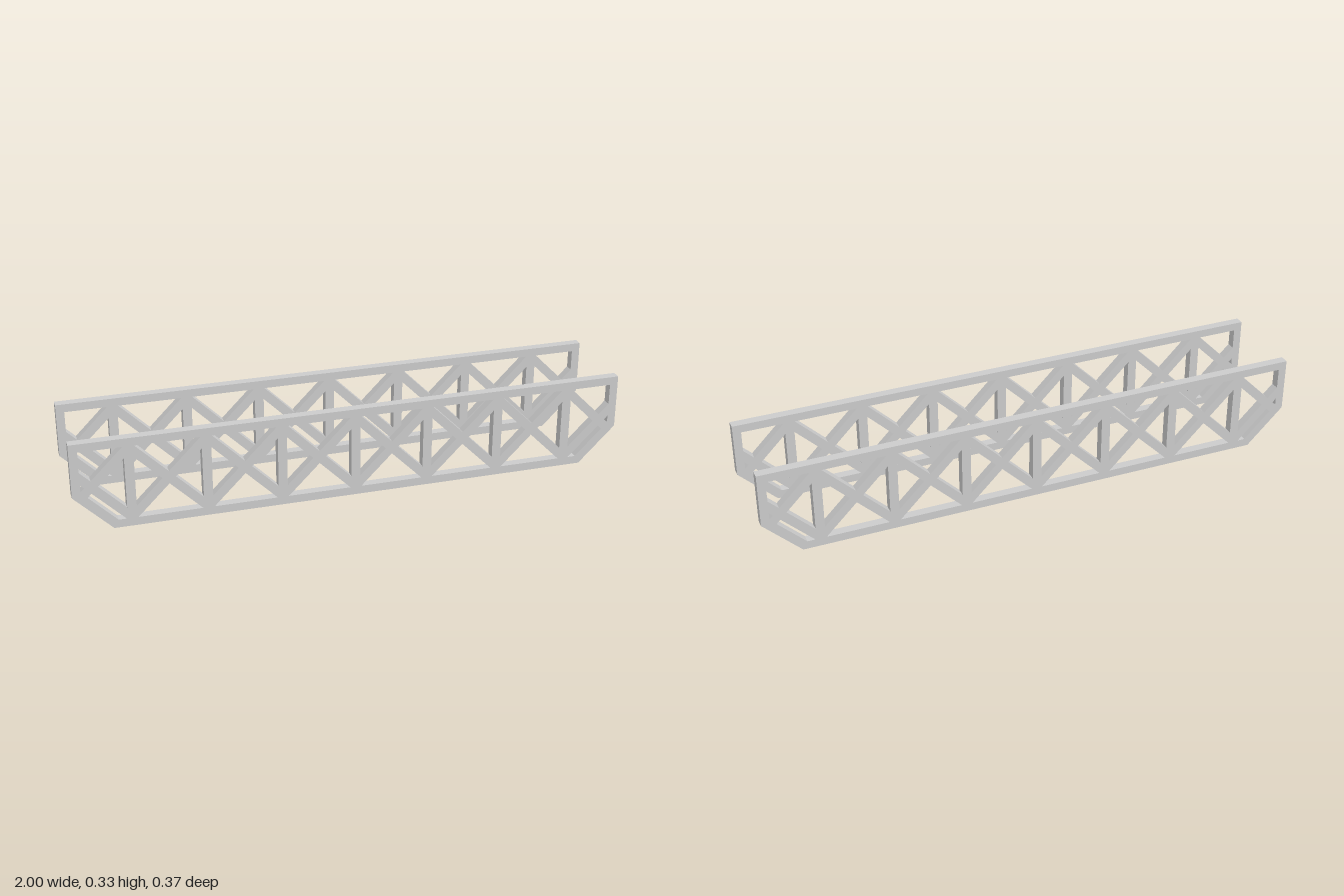
import * as THREE from 'three';

const HEIGHT = 0.333, CHORD = 0.03, BAR = 0.033, DEPTH = 0.033;
const BAY = 0.2667, CHAMFER = 0.135, SPREAD = 0.1665;

// Keep the part of a convex polygon where a*x + b*y <= c
function clip(poly, a, b, c) {
  const out = [];
  poly.forEach((p, i) => {
    const q = poly[(i + 1) % poly.length];
    const dp = a * p.x + b * p.y - c, dq = a * q.x + b * q.y - c;
    if (dp <= 0) out.push(p);
    if (dp * dq < 0) out.push(p.clone().lerp(q, dp / (dp - dq)));
  });
  return out;
}

// The four openings left by a pair of crossed diagonals in one bay
function bayOpenings(poly, cx) {
  const cy = HEIGHT / 2, half = (BAR / 2) * Math.SQRT2;
  const holes = [];
  for (const s of [1, -1]) for (const t of [1, -1]) {
    let hole = clip(poly, s, s, s * (cx + cy) - half);
    hole = clip(hole, t, -t, t * (cx - cy) - half);
    if (hole.length > 2) holes.push(hole);
  }
  return holes;
}

function rect(x0, x1) {
  const y0 = CHORD, y1 = HEIGHT - CHORD;
  return [[x0, y0], [x1, y0], [x1, y1], [x0, y1]].map(([x, y]) => new THREE.Vector2(x, y));
}

// Side truss: chamfered outline with bay openings cut through
function trussGeometry() {
  const shape = new THREE.Shape([
    [-1 + CHAMFER, 0], [1 - CHAMFER, 0], [1, CHAMFER],
    [1, HEIGHT], [-1, HEIGHT], [-1, CHAMFER],
  ].map(([x, y]) => new THREE.Vector2(x, y)));

  const openings = [];
  for (let i = 0; i < 3; i++) {
    const x0 = i * BAY, x1 = x0 + BAY;
    openings.push(...bayOpenings(rect(x0 + BAR / 2, x1 - BAR / 2), x0 + BAY / 2));
  }
  // End bay, bounded by the end post and the sloping end bar
  const endBay = clip(rect(3 * BAY + BAR / 2, 1 - CHORD), 1, -1, 1 - CHAMFER - BAR * Math.SQRT2);
  openings.push(...bayOpenings(endBay, 3.5 * BAY));

  for (const hole of openings) {
    shape.holes.push(new THREE.Path(hole));
    shape.holes.push(new THREE.Path(hole.map(p => new THREE.Vector2(-p.x, p.y)).reverse()));
  }
  const geometry = new THREE.ExtrudeGeometry(shape, { depth: DEPTH, bevelEnabled: false });
  return geometry.translate(0, 0, -DEPTH / 2);
}

export function createModel() {
  const model = new THREE.Group();
  model.name = 'trussPair';
  const material = new THREE.MeshStandardMaterial({ color: 0xcccccc });
  const geometry = trussGeometry();
  for (const [name, side] of [['frontTruss', 1], ['backTruss', -1]]) {
    const truss = new THREE.Mesh(geometry, material);
    truss.name = name;
    truss.position.z = side * SPREAD;
    model.add(truss);
  }
  return model;
}
